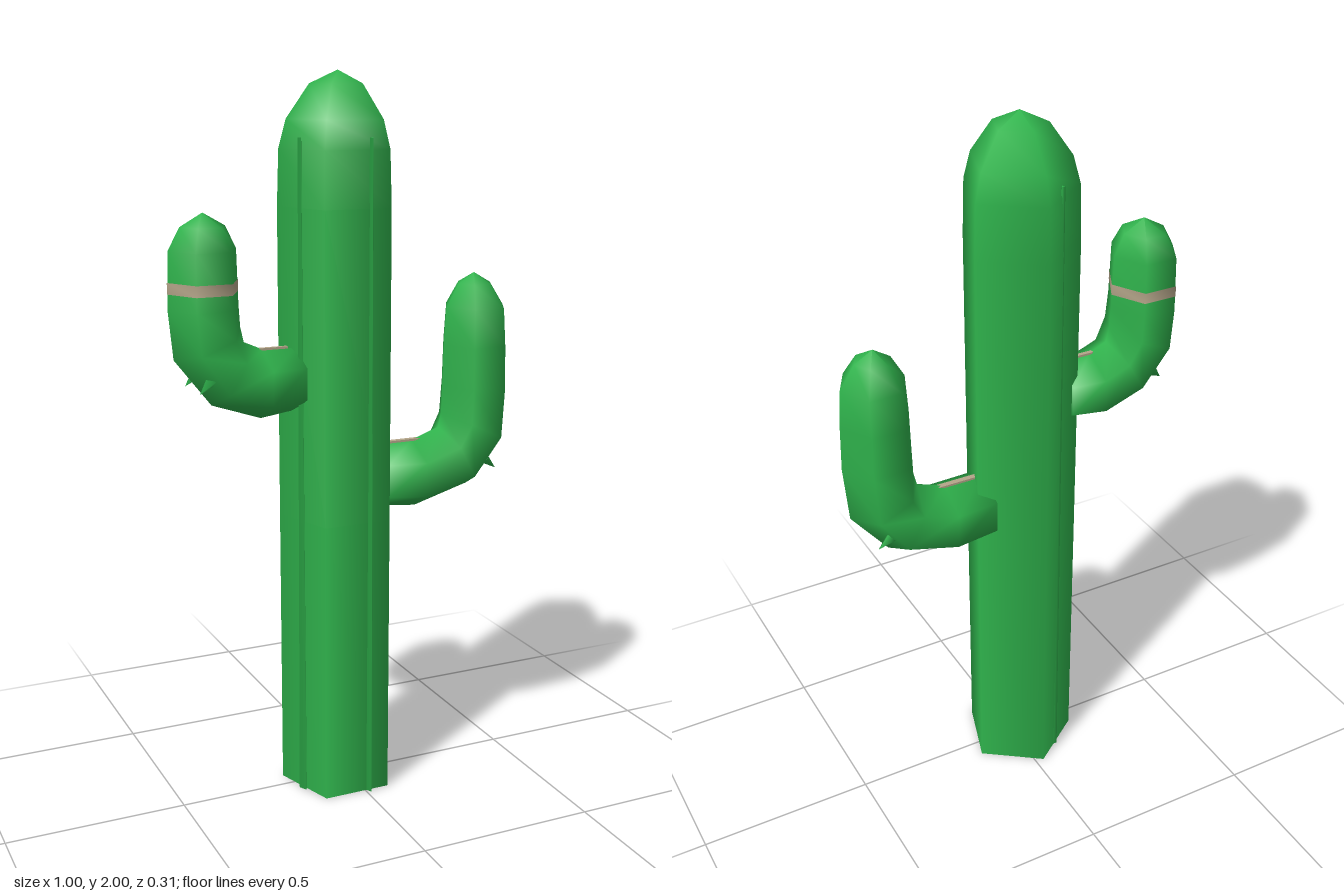
import * as THREE from 'three';

const green = new THREE.MeshStandardMaterial({ color: 0x2fb34c });
green.name = 'cactusGreen';
const tan = new THREE.MeshStandardMaterial({ color: 0xb5a68a });
tan.name = 'dryTan';

// Skin rings [x, y, headingDegrees, radius] lying along a path in the xy plane
function loft(rings, sides = 6, zScale = 1.1) {
  const pos = [], index = [];
  rings.forEach(([x, y, deg, r]) => {
    const a = THREE.MathUtils.degToRad(deg);
    for (let j = 0; j < sides; j++) {
      const t = (j / sides) * Math.PI * 2;
      const n = Math.cos(t) * r;
      pos.push(x - Math.sin(a) * n, y + Math.cos(a) * n, Math.sin(t) * r * zScale);
    }
  });
  for (let i = 0; i < rings.length - 1; i++) {
    for (let j = 0; j < sides; j++) {
      const k = (j + 1) % sides;
      const a = i * sides + j, b = i * sides + k, c = a + sides, d = b + sides;
      if (rings[i][3] > 0) index.push(a, b, c);
      if (rings[i + 1][3] > 0) index.push(b, d, c);
      else if (rings[i][3] === 0) continue;
    }
  }
  const g = new THREE.BufferGeometry();
  g.setAttribute('position', new THREE.Float32BufferAttribute(pos, 3));
  g.setIndex(index);
  g.computeVertexNormals();
  return g;
}

export function createModel() {
  const model = new THREE.Group();
  model.name = 'cactus';
  const add = (name, geometry, material, x = 0, y = 0, z = 0) => {
    const mesh = new THREE.Mesh(geometry, material);
    mesh.name = name;
    mesh.position.set(x, y, z);
    model.add(mesh);
    return mesh;
  };

  // Five-sided trunk with a rounded crown, one corner facing the back
  const cx = -0.025;
  const profile = [[0.163, 0], [0.163, 0.8], [0.162, 1.65], [0.157, 1.8], [0.137, 1.875], [0.075, 1.965], [0, 2]];
  add('trunk', new THREE.LatheGeometry(profile.map(p => new THREE.Vector2(...p)), 5, Math.PI), green, cx);
  const base = new THREE.CircleGeometry(0.163, 5, Math.PI / 2).rotateX(Math.PI / 2);
  // turn the base so its corners meet the trunk corners
  base.rotateY(Math.PI);
  add('trunkBase', base, green, cx, 0.001, 0);

  // Narrow raised seams running up the trunk
  for (const [x, z] of [[0.012, 0.133], [-0.152, 0.045], [-0.085, -0.112]]) {
    add('trunkSeam', new THREE.CylinderGeometry(0.006, 0.014, 1.83, 3), green, x, 0.915, z);
  }

  // Lower arm on the model's left
  add('leftArm', loft([
    [0.09, 0.89, 0, 0], [0.09, 0.895, 0, 0.092], [0.21, 0.887, 3, 0.097],
    [0.335, 0.925, 28, 0.1], [0.392, 1.01, 65, 0.104], [0.4, 1.13, 87, 0.1],
    [0.4, 1.25, 90, 0.097], [0.4, 1.355, 90, 0.09], [0.397, 1.42, 90, 0.05], [0.395, 1.45, 90, 0],
  ]), green);

  // Upper arm on the model's right
  add('rightArm', loft([
    [-0.15, 1.19, 180, 0], [-0.15, 1.19, 180, 0.085], [-0.25, 1.185, 178, 0.094],
    [-0.345, 1.22, 150, 0.094], [-0.4, 1.305, 112, 0.1], [-0.408, 1.4, 92, 0.097],
    [-0.408, 1.55, 90, 0.093], [-0.406, 1.61, 90, 0.062], [-0.405, 1.645, 90, 0],
  ]), green);

  // Dry band around the upper arm
  add('armBand', loft([[-0.408, 1.44, 90, 0.097], [-0.408, 1.47, 90, 0.097]]), tan);

  // Dry streaks along the tops of both arms
  add('leftArmStreak', new THREE.BoxGeometry(0.13, 0.006, 0.016), tan, 0.175, 0.985, 0);
  add('rightArmStreak', new THREE.BoxGeometry(0.08, 0.006, 0.012), tan, -0.215, 1.279, 0);

  // Small thorns at the elbows
  for (const [x, y, z, lean] of [[0.42, 0.91, 0.07, -2.3], [0.42, 0.91, -0.07, -2.3], [-0.425, 1.2, 0.06, 2.3], [-0.425, 1.2, -0.06, 2.3]]) {
    add('thorn', new THREE.ConeGeometry(0.02, 0.05, 3), green, x, y, z).rotation.z = lean;
  }
  return model;
}
